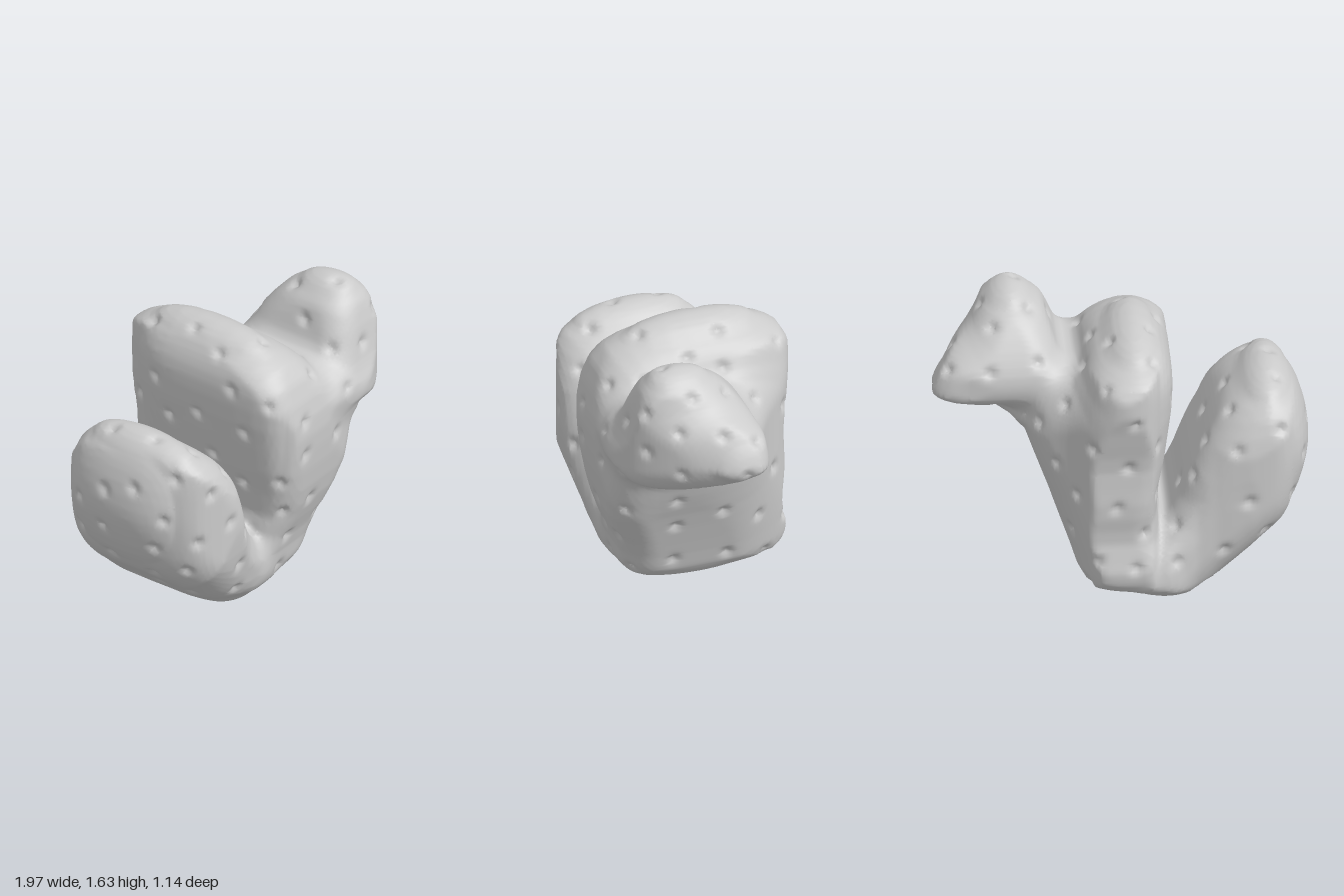
import * as THREE from 'three';

// Smooth closed outline through a few [a, b] points
const outline = (pts) =>
  new THREE.CatmullRomCurve3(pts.map(([a, b]) => new THREE.Vector3(a, b, 0)), true).getPoints(48).slice(0, -1);

// Signed distance to a closed outline, negative inside
function outlineDistance(poly, x, y) {
  let best = Infinity, sign = 1;
  for (let i = 0, j = poly.length - 1; i < poly.length; j = i++) {
    const a = poly[i], b = poly[j];
    const ex = b.x - a.x, ey = b.y - a.y, wx = x - a.x, wy = y - a.y;
    const t = Math.min(1, Math.max(0, (wx * ex + wy * ey) / (ex * ex + ey * ey || 1)));
    best = Math.min(best, (wx - ex * t) ** 2 + (wy - ey * t) ** 2);
    if ((a.y > y) !== (b.y > y) && x < a.x + (ex * (y - a.y)) / ey) sign = -sign;
  }
  return sign * Math.sqrt(best);
}

// A lobe: a front (x,y) outline whose depth is limited by side (z,y) and plan (x,z) outlines, edges rounded by r.
// Side and plan are clamped short of their ends so that the front outline alone sets the x and y extremes.
function lobe(front, side, plan, r) {
  const f = outline(front), s = outline(side), p = outline(plan);
  const clampTo = (values) => {
    const lo = Math.min(...values) + 0.6 * r, hi = Math.max(...values) - 0.6 * r;
    return (v) => Math.min(hi, Math.max(lo, v));
  };
  const clampY = clampTo(s.map((v) => v.y)), clampX = clampTo(p.map((v) => v.x));
  return (x, y, z) => {
    const a = outlineDistance(f, x, y) + r;
    const b = Math.max(outlineDistance(s, z, clampY(y)), outlineDistance(p, clampX(x), z)) + r;
    return Math.min(Math.max(a, b), 0) + Math.hypot(Math.max(a, 0), Math.max(b, 0)) - r;
  };
}

// Low lobe leaning to -x, with the foot
const leaningLobe = lobe(
  [[-0.2, 0], [-0.4, 0.04], [-0.55, 0.17], [-0.73, 0.34], [-0.9, 0.5], [-0.98, 0.7], [-1, 0.88], [-0.95, 1.1], [-0.86, 1.23],
    [-0.76, 1.265], [-0.65, 1.22], [-0.5, 1.03], [-0.36, 0.78], [-0.25, 0.52], [-0.1, 0.35], [0.02, 0.1]],
  [[-0.05, 0], [0.22, 0.04], [0.36, 0.14], [0.42, 0.35], [0.47, 0.6], [0.48, 0.9], [0.38, 1.15], [0.1, 1.26],
    [-0.1, 1.26], [-0.32, 1.17], [-0.43, 0.9], [-0.43, 0.6], [-0.5, 0.35], [-0.5, 0.14], [-0.28, 0.03]],
  [[-1, -0.03], [-0.97, -0.22], [-0.89, -0.38], [-0.7, -0.43], [-0.4, -0.43], [-0.15, -0.52], [0.1, -0.5], [0.15, 0],
    [0.1, 0.42], [-0.2, 0.41], [-0.38, 0.43], [-0.52, 0.48], [-0.7, 0.45], [-0.84, 0.38], [-0.97, 0.17]], 0.2);

// Tall central column
const column = lobe(
  [[-0.2, 0], [0, 0.03], [0.2, 0.12], [0.3, 0.36], [0.4, 0.62], [0.51, 0.85], [0.58, 1], [0.46, 1.15], [0.25, 1.28],
    [0.15, 1.43], [0.04, 1.54], [-0.07, 1.57], [-0.18, 1.52], [-0.265, 1.38], [-0.28, 1.2], [-0.24, 0.85], [-0.2, 0.5],
    [-0.32, 0.3], [-0.4, 0.06]],
  [[-0.05, 0], [0.2, 0.04], [0.36, 0.14], [0.41, 0.35], [0.5, 0.6], [0.545, 0.9], [0.54, 1.15], [0.43, 1.4], [0.2, 1.53],
    [-0.1, 1.57], [-0.4, 1.5], [-0.575, 1.35], [-0.54, 1.12], [-0.5, 0.9], [-0.51, 0.65], [-0.49, 0.45], [-0.535, 0.25],
    [-0.47, 0.12], [-0.25, 0.04]],
  [[0, -0.575], [0.15, -0.52], [0.3, -0.37], [0.47, -0.22], [0.6, 0.1], [0.5, 0.45], [0.2, 0.545], [-0.15, 0.545],
    [-0.25, 0.45], [-0.28, 0], [-0.25, -0.33], [-0.14, -0.52]], 0.17);

// High knob overhanging to +x
const knob = lobe(
  [[0.12, 1.1], [0.3, 1.31], [0.4, 1.54], [0.49, 1.63], [0.58, 1.65], [0.68, 1.6], [0.77, 1.46], [0.9, 1.36], [0.98, 1.24],
    [1, 1.15], [0.93, 1.07], [0.8, 1.005], [0.65, 0.95], [0.5, 0.93], [0.28, 1.01]],
  [[0.28, 1.65], [0.4, 1.6], [0.47, 1.45], [0.52, 1.25], [0.575, 1.08], [0.48, 1], [0.2, 0.95], [0, 1.03], [-0.15, 1.13],
    [-0.17, 1.25], [-0.1, 1.4], [0.05, 1.57], [0.15, 1.63]],
  [[0.18, 0.48], [0.43, 0.57], [0.6, 0.52], [0.75, 0.4], [0.88, 0.23], [0.99, 0.03], [0.97, -0.14], [0.8, -0.16],
    [0.6, -0.18], [0.42, -0.22], [0.2, -0.12], [0.05, 0.22]], 0.14);

const blend = (a, b, k) => Math.min(a, b) - (Math.max(k - Math.abs(a - b), 0) ** 2) / (4 * k);
const field = (x, y, z) => blend(blend(leaningLobe(x, y, z), column(x, y, z), 0.05), knob(x, y, z), 0.12);

// Skin the field: one vertex per crossed grid cell, one quad per crossed grid edge
function skin(fn, min, size, step) {
  const n = size.map((s) => Math.ceil(s / step) + 1);
  const stride = [1, n[0], n[0] * n[1]];
  const values = new Float32Array(n[0] * n[1] * n[2]);
  const each = (visit) => {
    for (let k = 0, i = 0; k < n[2]; k++)
      for (let j = 0; j < n[1]; j++)
        for (let h = 0; h < n[0]; h++, i++) visit([h, j, k], i);
  };
  each((g, i) => { values[i] = fn(...g.map((v, a) => min[a] + v * step)); });

  const cellVertex = new Int32Array(values.length).fill(-1);
  const positions = [], index = [];
  each((g, i) => {
    if (g.some((v, a) => v >= n[a] - 1)) return;
    const sum = [0, 0, 0];
    let count = 0;
    for (let c = 0; c < 8; c++)
      for (let a = 0; a < 3; a++) {
        if (c & (1 << a)) continue;
        const bits = [c & 1, (c >> 1) & 1, (c >> 2) & 1];
        const from = i + bits[0] * stride[0] + bits[1] * stride[1] + bits[2] * stride[2];
        const u = values[from], v = values[from + stride[a]];
        if (u < 0 === v < 0) continue;
        bits[a] = u / (u - v);
        bits.forEach((b, q) => { sum[q] += b; });
        count++;
      }
    if (!count) return;
    cellVertex[i] = positions.length / 3;
    sum.forEach((s, q) => positions.push(min[q] + (g[q] + s / count) * step));
  });
  each((g, i) => {
    for (let a = 0; a < 3; a++) {
      const b = (a + 1) % 3, c = (a + 2) % 3;
      if (g[a] >= n[a] - 1 || !g[b] || !g[c]) continue;
      const inside = values[i] < 0;
      if (inside === values[i + stride[a]] < 0) continue;
      const q = [i - stride[b] - stride[c], i - stride[c], i, i - stride[b]].map((v) => cellVertex[v]);
      if (!inside) q.reverse();
      index.push(q[0], q[1], q[2], q[0], q[2], q[3]);
    }
  });
  const geometry = new THREE.BufferGeometry();
  geometry.setAttribute('position', new THREE.Float32BufferAttribute(positions, 3));
  geometry.setIndex(index);
  geometry.computeVertexNormals();
  return geometry;
}

// Scatter small evenly spaced pits over the surface
function addPits(geometry, spacing, radius, depth) {
  const pos = geometry.attributes.position, nor = geometry.attributes.normal;
  let seed = 7;
  const random = () => (seed = (seed * 16807) % 2147483647) / 2147483647;
  const pits = [];
  for (let t = 0; t < 1500; t++) {
    const p = new THREE.Vector3().fromBufferAttribute(pos, Math.floor(random() * pos.count));
    if (p.y > 0.15 && pits.every((o) => o.distanceTo(p) > spacing)) pits.push(p);
  }
  const v = new THREE.Vector3(), normal = new THREE.Vector3();
  for (let i = 0; i < pos.count; i++) {
    v.fromBufferAttribute(pos, i);
    normal.fromBufferAttribute(nor, i);
    const push = pits.reduce((s, p) => s + Math.exp(-p.distanceToSquared(v) / radius ** 2), 0);
    v.addScaledVector(normal, -depth * push);
    pos.setXYZ(i, v.x, v.y, v.z);
  }
  geometry.computeVertexNormals();
}

export function createModel() {
  const group = new THREE.Group();
  group.name = 'lobedSponge';
  const geometry = skin(field, [-1.06, -0.06, -0.66], [2.12, 1.8, 1.32], 0.02);
  addPits(geometry, 0.19, 0.028, 0.024);
  const body = new THREE.Mesh(geometry, new THREE.MeshStandardMaterial({ color: 0xcccccc, roughness: 0.8 }));
  body.name = 'pittedBody';
  group.add(body);
  return group;
}
